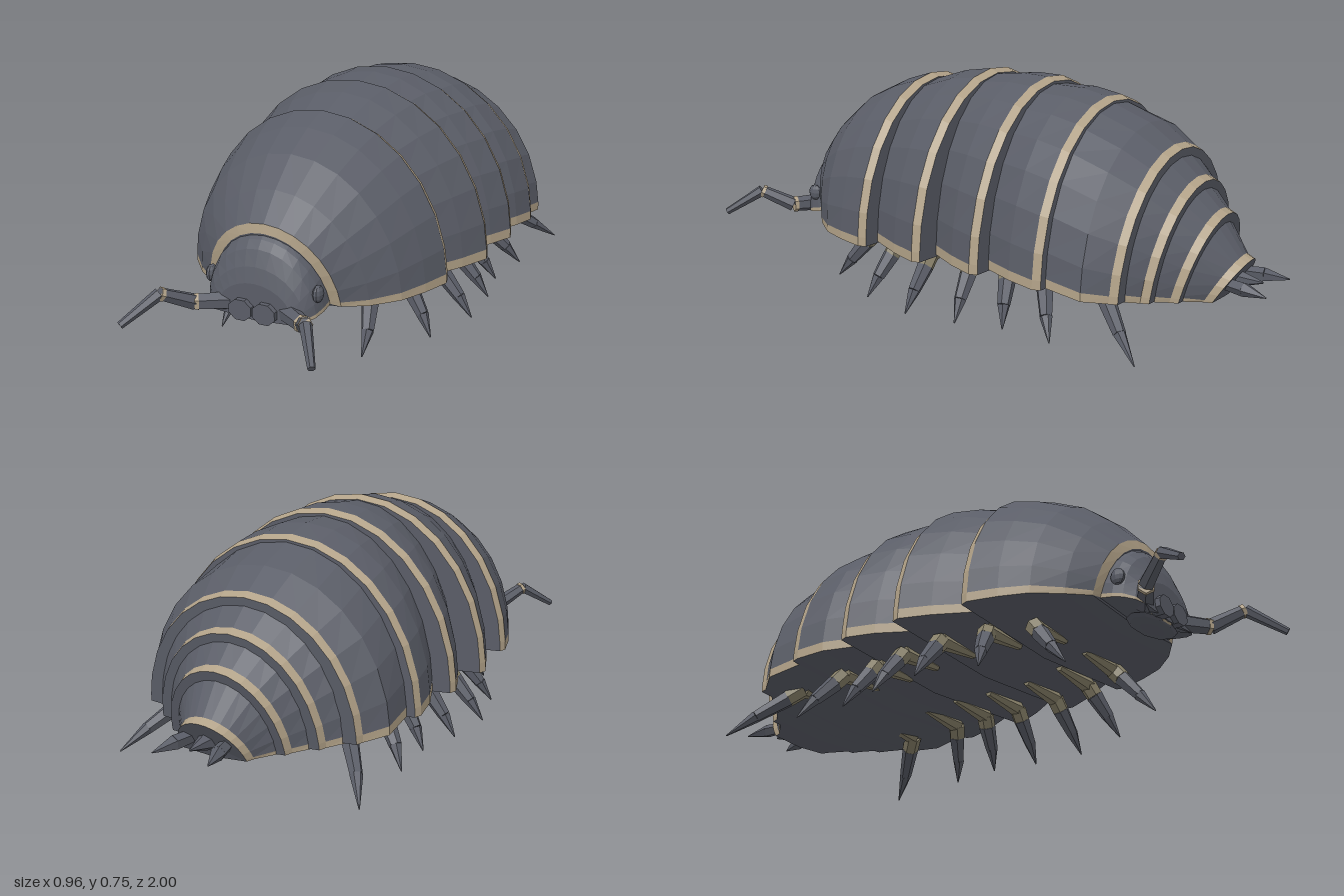
import * as THREE from 'three';

const flat = (name, color) => {
  const m = new THREE.MeshStandardMaterial({ color, flatShading: true });
  m.name = name;
  return m;
};
const slate = flat('slate shell', 0x5a5d67);
const tan = flat('tan trim', 0xb2a288);
const olive = flat('olive limb', 0x878069);

const SIDES = 14;
const EDGE = 0.06; // angle of the trimmed lower edge

// Arched cross-section from the left edge over the top to the right edge, closed by a sagging belly point
function arch([z, halfWidth, top, base, lean = 0]) {
  const angles = [0, EDGE];
  for (let k = 1; k < SIDES; k++) angles.push((k * Math.PI) / SIDES);
  angles.push(Math.PI - EDGE, Math.PI);
  const ring = angles.map((a) => new THREE.Vector3(
    halfWidth * Math.cos(a), base + (top - base) * Math.sin(a), z + lean * Math.sin(a)));
  ring.push(new THREE.Vector3(0, base - halfWidth * 0.07, z));
  return ring;
}

// Closed loft through arches, front to back; strips listed in trimmed, and the lower edges, are tan
function loft(name, sections, trimmed) {
  const rings = sections.map(arch);
  const n = rings[0].length;
  const dark = [], light = [];
  const tri = (list, ...pts) => pts.forEach((p) => list.push(p.x, p.y, p.z));
  for (let i = 0; i < rings.length - 1; i++) {
    for (let j = 0; j < n; j++) {
      const k = (j + 1) % n;
      const edge = j === 0 || j === n - 3;
      const belly = j >= n - 2;
      const list = edge || (trimmed.includes(i) && !belly) ? light : dark;
      tri(list, rings[i][j], rings[i + 1][j], rings[i + 1][k]);
      tri(list, rings[i][j], rings[i + 1][k], rings[i][k]);
    }
  }
  const front = rings[0], back = rings[rings.length - 1];
  const middle = (r) => r[0].clone().add(r[n - 2]).add(r[8]).divideScalar(3);
  const cf = middle(front), cb = middle(back);
  for (let j = 0; j < n; j++) {
    const k = (j + 1) % n;
    tri(dark, cf, front[j], front[k]);
    tri(dark, cb, back[k], back[j]);
  }
  const g = new THREE.BufferGeometry();
  g.setAttribute('position', new THREE.Float32BufferAttribute([...dark, ...light], 3));
  g.addGroup(0, dark.length / 3, 0);
  g.addGroup(dark.length / 3, light.length / 3, 1);
  g.computeVertexNormals();
  const mesh = new THREE.Mesh(g, [slate, tan]);
  mesh.name = name;
  return mesh;
}

// Back plate: adds a bevelled tan rim behind the last section
function plate(name, sections, frontTrim) {
  const [z, w, top, base, lean = 0] = sections[sections.length - 1];
  const rim = [z - 0.027, w - 0.008, top - 0.013, base, lean];
  return loft(name, [...sections, rim], [...frontTrim, sections.length - 1]);
}

// Tapered limb piece between two points
function limb(name, a, b, ra, rb, material, sides = 6) {
  const from = new THREE.Vector3(...a), to = new THREE.Vector3(...b);
  const dir = to.clone().sub(from);
  const mesh = new THREE.Mesh(new THREE.CylinderGeometry(rb, ra, dir.length(), sides), material);
  mesh.position.copy(from).add(to).multiplyScalar(0.5);
  mesh.quaternion.setFromUnitVectors(new THREE.Vector3(0, 1, 0), dir.normalize());
  mesh.name = name;
  return mesh;
}

function blob(name, position, scale, material) {
  const mesh = new THREE.Mesh(new THREE.SphereGeometry(1, 10, 6), material);
  mesh.position.set(...position);
  mesh.scale.set(...scale);
  mesh.name = name;
  return mesh;
}

function mixPoints(a, b, t) {
  return a.map((v, i) => v + (b[i] - v) * t);
}

export function createModel() {
  const model = new THREE.Group();
  model.name = 'woodlouse';

  // Overlapping back plates: [z, half width, top, base, lean of the crown]
  const plates = [
    [[0.63, 0.195, 0.425, 0.21, 0.06], [0.625, 0.23, 0.455, 0.205, 0.06], [0.57, 0.3, 0.54, 0.2, 0.04],
      [0.49, 0.37, 0.625, 0.2, 0.02], [0.4, 0.41, 0.68, 0.2], [0.305, 0.44, 0.712, 0.2]],
    [[0.29, 0.36, 0.69, 0.2], [0.16, 0.435, 0.735, 0.2], [0.06, 0.478, 0.752, 0.2]],
    [[0.045, 0.37, 0.735, 0.2], [-0.07, 0.44, 0.75, 0.2], [-0.16, 0.477, 0.747, 0.198]],
    [[-0.175, 0.4, 0.725, 0.198], [-0.29, 0.45, 0.725, 0.195], [-0.385, 0.468, 0.707, 0.187]],
    [[-0.4, 0.43, 0.69, 0.187], [-0.54, 0.442, 0.64, 0.17], [-0.61, 0.39, 0.58, 0.16, -0.02]],
    [[-0.61, 0.365, 0.563, 0.16, -0.02], [-0.67, 0.297, 0.487, 0.145, -0.045]],
    [[-0.67, 0.28, 0.47, 0.145, -0.045], [-0.73, 0.215, 0.392, 0.133, -0.065]],
    [[-0.73, 0.2, 0.375, 0.133, -0.065], [-0.805, 0.128, 0.255, 0.122, -0.075]],
  ];
  plates.forEach((sections, i) => model.add(plate(`backPlate${i + 1}`, sections, i === 0 ? [0] : [])));

  // Head, front to back
  model.add(loft('head', [[0.752, 0.135, 0.285, 0.175], [0.735, 0.165, 0.335, 0.183, 0.005],
    [0.705, 0.187, 0.385, 0.192, 0.015], [0.67, 0.195, 0.41, 0.2, 0.03], [0.62, 0.195, 0.425, 0.21, 0.06]], []));
  model.add(blob('lipTrim', [0, 0.172, 0.7], [0.085, 0.016, 0.052], tan));
  model.add(blob('lip', [0, 0.168, 0.69], [0.12, 0.016, 0.058], slate));

  // Tail spike
  model.add(limb('tailSpike', [0, 0.175, -0.8], [0, 0.175, -0.95], 0.05, 0.003, slate));

  // Leg rows: [hip z, knee x, tip x, tip z]
  const legs = [
    [0.4, 0.225, 0.255, 0.535], [0.26, 0.28, 0.39, 0.31], [0.1, 0.315, 0.45, 0.11],
    [-0.06, 0.31, 0.435, -0.075], [-0.19, 0.29, 0.4, -0.235], [-0.33, 0.3, 0.42, -0.42],
    [-0.53, 0.29, 0.445, -0.73],
  ];

  for (const s of [1, -1]) {
    const side = s > 0 ? 'left' : 'right';

    legs.forEach(([z, kneeX, tipX, tipZ], i) => {
      const leg = new THREE.Group();
      leg.name = `${side}Leg${i + 1}`;
      const hip = [s * (kneeX - 0.17), 0.178, z];
      const knee = [s * kneeX, 0.17, z];
      const tip = [s * tipX, 0.003, tipZ];
      const joint = mixPoints(knee, tip, 0.2);
      const shin = mixPoints(knee, tip, 0.6);
      shin[0] += s * 0.006;
      leg.add(limb('hip', hip, knee, 0.012, 0.028, olive));
      leg.add(limb('thigh', knee, joint, 0.03, 0.029, olive));
      leg.add(limb('shin', joint, shin, 0.029, 0.021, slate));
      leg.add(limb('claw', shin, tip, 0.021, 0.002, slate));
      model.add(leg);
    });

    // Antenna with trimmed joints
    const antenna = new THREE.Group();
    antenna.name = `${side}Antenna`;
    const path = [[s * 0.08, 0.203, 0.715], [s * 0.19, 0.205, 0.79], [s * 0.25, 0.257, 0.885], [s * 0.325, 0.18, 0.99]];
    const radii = [0.032, 0.026, 0.02, 0.012];
    for (let i = 0; i < 3; i++) {
      antenna.add(limb('antennaSegment', path[i], path[i + 1], radii[i], radii[i + 1], slate));
      if (i < 2) {
        const a = mixPoints(path[i], path[i + 1], 0.9), b = mixPoints(path[i], path[i + 1], 1);
        antenna.add(limb('antennaJoint', a, b, radii[i + 1] + 0.003, radii[i + 1] + 0.002, tan));
      }
    }
    model.add(antenna);

    // Eye and jaw
    model.add(blob(`${side}Eye`, [s * 0.187, 0.265, 0.69], [0.016, 0.028, 0.025], slate));
    const jaw = new THREE.Mesh(new THREE.CylinderGeometry(0.042, 0.04, 0.06, 8, 1, false, Math.PI / 8), slate);
    jaw.rotation.x = Math.PI / 2;
    jaw.scale.set(1, 1, 0.85);
    jaw.position.set(s * 0.041, 0.198, 0.74);
    jaw.name = `${side}Jaw`;
    model.add(jaw);

    // Tail prong
    const base = [s * 0.06, 0.175, -0.83], mid = [s * 0.08, 0.172, -0.92], tip = [s * 0.1, 0.165, -1];
    const prong = new THREE.Group();
    prong.name = `${side}TailProng`;
    prong.add(limb('prongBase', base, mid, 0.02, 0.024, slate, 5));
    prong.add(limb('prongTip', mid, tip, 0.024, 0.002, slate, 5));
    model.add(prong);
  }

  return model;
}
